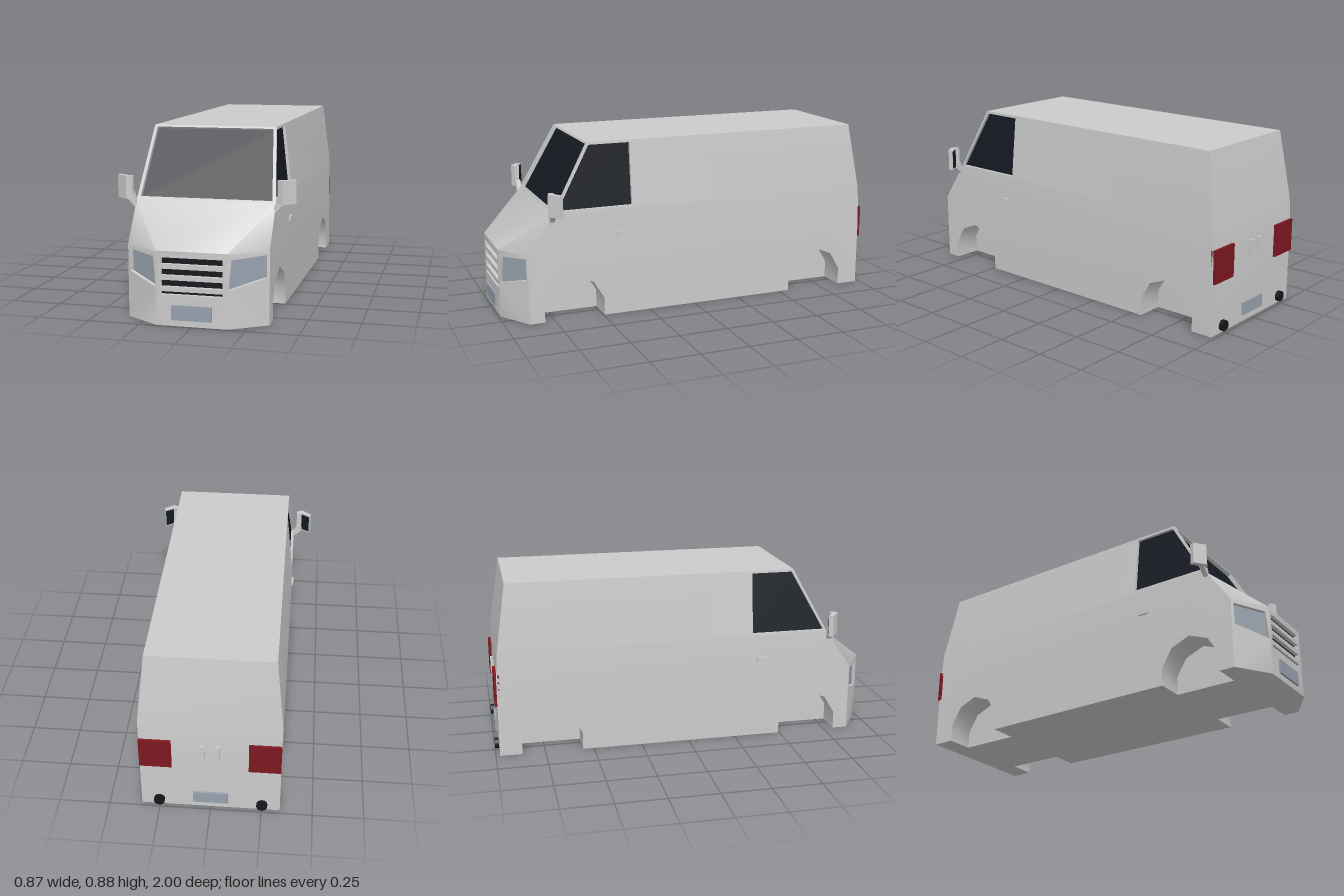
import * as THREE from 'three';
import { mergeGeometries, toCreasedNormals } from 'three/addons/utils/BufferGeometryUtils.js';

const V = (x, y, z) => new THREE.Vector3(x, y, z);
const to2 = (pts) => pts.map(([a, b]) => new THREE.Vector2(a, b));
const material = (color) => new THREE.MeshStandardMaterial({ color, roughness: 0.7 });

// Body sections: half width, nose and tail as functions of height
const BELT = 0.54, ROOF = 0.885, HOOD = 0.35;
const taper = (y) => Math.max(0, (y - BELT) / (ROOF - BELT));
const halfWidth = (y) => 0.34 - 0.037 * taper(y);
const screenZ = (y) => 0.75 - 0.19 * taper(y);
const tailZ = (y) => (y <= 0.4 ? -0.98 : y <= BELT ? -0.98 + (y - 0.4) / 14 : -0.97 + 0.053 * taper(y));

// Convex polygon through 3D points, as a triangle fan
function face(pts, flip = false) {
  const p = flip ? [...pts].reverse() : pts;
  const tris = [];
  for (let i = 1; i < p.length - 1; i++) tris.push(p[0], p[i], p[i + 1]);
  return new THREE.BufferGeometry().setFromPoints(tris);
}

// Flat outline with holes, laid into space by a mapping rule
function patch(outline, holes, map, flip = false) {
  const shape = new THREE.Shape(to2(outline));
  holes.forEach((h) => shape.holes.push(new THREE.Path(to2(h))));
  const g = new THREE.ShapeGeometry(shape).toNonIndexed();
  const pos = g.attributes.position, tris = [];
  for (let i = 0; i < pos.count; i += 3) {
    const t = [0, 1, 2].map((k) => map(pos.getX(i + k), pos.getY(i + k)));
    tris.push(...(flip ? t.reverse() : t));
  }
  return new THREE.BufferGeometry().setFromPoints(tris);
}

// Extrude an outline in x, z upwards from y0 to y1
function upright(outline, y0, y1) {
  const shape = new THREE.Shape(to2(outline.map(([x, z]) => [x, -z])));
  return new THREE.ExtrudeGeometry(shape, { depth: y1 - y0, bevelEnabled: false })
    .rotateX(-Math.PI / 2).translate(0, y0, 0);
}

export function createModel() {
  const van = new THREE.Group();
  van.name = 'van';
  const grey = material(0xcccccc), dark = material(0x151a22), black = material(0x14161b);
  const lens = material(0x98a2ae), red = material(0x7d1820);
  const body = [];

  const add = (name, geometry, mat, parent = van) => {
    const mesh = new THREE.Mesh(geometry, mat);
    mesh.name = name;
    parent.add(mesh);
    return mesh;
  };
  const box = (name, mat, x0, x1, y0, y1, z0, z1, parent) =>
    add(name, new THREE.BoxGeometry(x1 - x0, y1 - y0, z1 - z0)
      .translate((x0 + x1) / 2, (y0 + y1) / 2, (z0 + z1) / 2), mat, parent);

  // Sink an opening into the body and close it with a pane
  function inset(name, hole, map, offset, mat, flip = false) {
    const rim = hole.map(([a, b]) => map(a, b));
    const deep = rim.map((p) => p.clone().add(offset));
    rim.forEach((p, i) => {
      const j = (i + 1) % rim.length;
      body.push(face([p, rim[j], deep[j], deep[i]], flip));
    });
    const pane = face(deep, flip);
    pane.computeVertexNormals();
    add(name, pane, mat);
  }

  // Wheel arches, from rear to front
  const arch = (c) => [[-0.155, 0], [-0.155, 0.09], [-0.1, 0.182], [0, 0.222],
    [0.1, 0.182], [0.155, 0.09], [0.155, 0]].map(([z, y]) => [c + z, y]);
  const arches = [arch(-0.712), arch(0.648)];
  const ARCH_IN = 0.2;

  const sideWindow = [[0.34, 0.56], [0.725, 0.56], [0.552, 0.872], [0.34, 0.872]];
  const headlight = [[0.173, 0.18], [0.328, 0.225], [0.328, 0.332], [0.185, 0.32]];

  for (const s of [1, -1]) {
    const f = s > 0;
    const sideMap = (z, y) => V(s * halfWidth(y), y, z);
    // Lower side with arch cutouts, upper side with door window
    body.push(patch([[-0.98, 0], ...arches[0], ...arches[1], [0.88, 0], [0.88, HOOD],
      [0.75, BELT], [-0.97, BELT], [-0.98, 0.4]], [], sideMap, f));
    body.push(patch([[-0.97, BELT], [0.75, BELT], [0.56, ROOF], [-0.917, ROOF]], [sideWindow], sideMap, f));
    inset('sideWindow', sideWindow, sideMap, V(-s * 0.015, 0, 0), dark, f);

    // Wheel wells
    for (const a of arches) {
      for (let i = 0; i < a.length - 1; i++) {
        const [[z0, y0], [z1, y1]] = [a[i], a[i + 1]];
        body.push(face([V(s * 0.34, y0, z0), V(s * 0.34, y1, z1),
          V(s * ARCH_IN, y1, z1), V(s * ARCH_IN, y0, z0)], !f));
      }
      body.push(patch(a, [], (z, y) => V(s * ARCH_IN, y, z), f));
    }

    // Angled front corner with headlight, and hood corner
    const cornerMap = (x, y) => V(s * x, y, 0.99 - (x - 0.17) * 0.11 / 0.17);
    body.push(patch([[0.17, 0], [0.34, 0], [0.34, HOOD], [0.17, HOOD]], [headlight], cornerMap, !f));
    inset('headlight', headlight, cornerMap, V(-s * 0.54, 0, -0.84).multiplyScalar(0.018), lens, !f);
    body.push(face([V(s * 0.17, HOOD, 0.99), V(s * 0.34, HOOD, 0.88), V(s * 0.34, BELT, 0.75)], !f));
  }

  // Nose with grille slots
  const slots = [[0.147, 0.162], [0.184, 0.215], [0.237, 0.267], [0.29, 0.32]]
    .map(([a, b]) => [[-0.146, a], [0.146, a], [0.146, b], [-0.146, b]]);
  const noseMap = (x, y) => V(x, y, 0.99);
  body.push(patch([[-0.17, 0], [0.17, 0], [0.17, HOOD], [-0.17, HOOD]], slots, noseMap));
  slots.forEach((h) => inset('grilleSlot', h, noseMap, V(0, 0, -0.02), black));

  // Hood and windshield
  body.push(face([V(-0.17, HOOD, 0.99), V(0.17, HOOD, 0.99), V(0.34, BELT, 0.75), V(-0.34, BELT, 0.75)]));
  const screen = [[-0.322, 0.557], [0.322, 0.557], [0.29, 0.876], [-0.29, 0.876]];
  const screenMap = (x, y) => V(x, y, screenZ(y));
  body.push(patch([[-0.34, BELT], [0.34, BELT], [0.303, ROOF], [-0.303, ROOF]], [screen], screenMap));
  inset('windshield', screen, screenMap, V(0, -0.0096, -0.0175), dark);

  // Roof, tail and floor
  body.push(face([V(-0.303, ROOF, 0.56), V(0.303, ROOF, 0.56), V(0.303, ROOF, -0.917), V(-0.303, ROOF, -0.917)]));
  const levels = [0, 0.4, BELT, ROOF];
  for (let i = 0; i < 3; i++) {
    const [a, b] = [levels[i], levels[i + 1]], [wa, wb] = [halfWidth(a), halfWidth(b)];
    body.push(face([V(-wa, a, tailZ(a)), V(wa, a, tailZ(a)), V(wb, b, tailZ(b)), V(-wb, b, tailZ(b))], true));
  }
  const edge = [[0.34, -0.98]];
  for (const a of arches) {
    const z0 = a[0][0], z1 = a[6][0];
    edge.push([0.34, z0], [ARCH_IN, z0], [ARCH_IN, z1], [0.34, z1]);
  }
  edge.push([0.34, 0.88], [0.17, 0.99]);
  const mirrored = edge.map(([x, z]) => [-x, z]).reverse();
  body.push(patch([...edge, ...mirrored], [], (x, z) => V(x, 0, z)));

  add('body', toCreasedNormals(mergeGeometries(body), 0.7), grey);

  // Number plates
  box('frontPlate', lens, -0.096, 0.096, 0.03, 0.1, 0.98, 1);
  box('rearPlate', lens, -0.085, 0.085, 0.035, 0.1, -0.99, -0.97);

  // Paired fittings
  for (const s of [1, -1]) {
    const side = new THREE.Group();
    side.name = s > 0 ? 'leftFittings' : 'rightFittings';
    side.scale.x = s;
    van.add(side);

    box('tailLight', red, 0.185, 0.34, 0.265, 0.43, -0.992, -0.965, side);
    box('rearHandle', grey, 0.027, 0.047, 0.335, 0.41, -0.993, -0.965, side);
    box('doorHandle', grey, 0.33, 0.35, 0.406, 0.428, 0.365, 0.42, side);
    add('rearSensor', new THREE.CylinderGeometry(0.027, 0.027, 0.03, 16)
      .rotateX(Math.PI / 2).translate(0.252, 0.037, -0.985), black, side);

    // Door mirror: folded housing, dark glass and stalk
    add('mirrorHousing', upright([[0.352, 0.77], [0.381, 0.784], [0.435, 0.742],
      [0.426, 0.72], [0.378, 0.752], [0.352, 0.748]], 0.548, 0.659), grey, side);
    add('mirrorGlass', upright([[0.424, 0.724], [0.423, 0.719], [0.38, 0.747], [0.381, 0.753]],
      0.556, 0.651), dark, side);
    const stalk = new THREE.Shape(to2([[0.33, 0.512], [0.345, 0.51], [0.385, 0.55], [0.38, 0.58],
      [0.352, 0.58], [0.336, 0.535]]));
    add('mirrorStalk', new THREE.ExtrudeGeometry(stalk, { depth: 0.024, bevelEnabled: false })
      .translate(0, 0, 0.742), grey, side);
  }
  return van;
}
